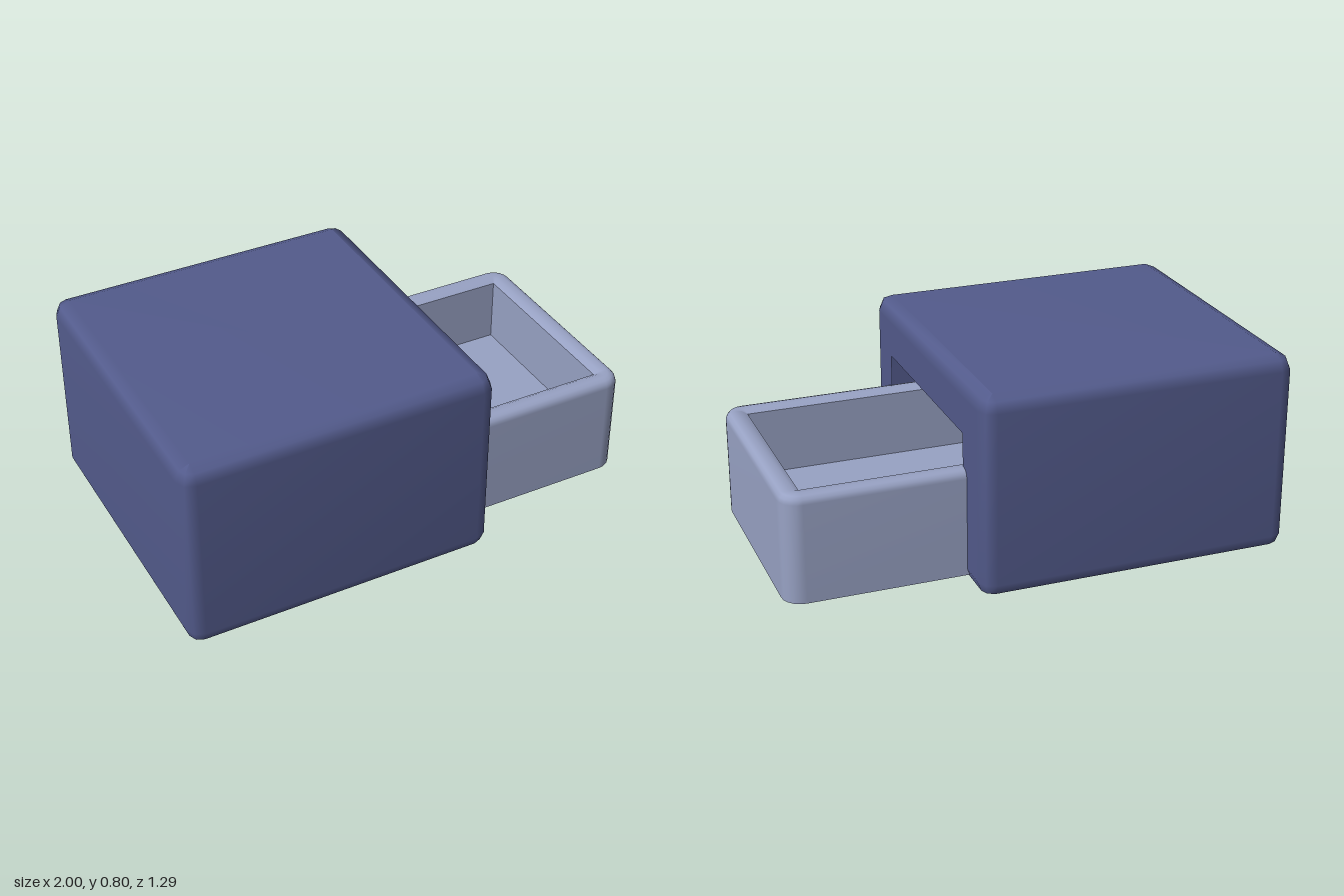
import * as THREE from 'three';

// Ring of points: a rectangle seen from above with a radius per corner, pulled in by inset
function ring({ x0, x1, z0, z1, radii, seg }, y, inset) {
  const pts = [];
  const corners = [[x1, z1, -1, -1], [x0, z1, 1, -1], [x0, z0, 1, 1], [x1, z0, -1, 1]];
  corners.forEach(([cx, cz, sx, sz], q) => {
    const r = Math.max(radii[q] - inset, 0);
    const d = Math.max(radii[q], inset);
    for (let i = 0; i <= seg; i++) {
      const a = (q + i / seg) * Math.PI / 2;
      pts.push([cx + sx * d + r * Math.cos(a), y, cz + sz * d + r * Math.sin(a)]);
    }
  });
  return pts;
}

// Skin over rings given as [y, inset]; skip(level, side) leaves a panel out
function loft(plan, levels, { cap = false, skip = () => false } = {}) {
  const rings = levels.map(([y, inset]) => ring(plan, y, inset));
  const n = rings[0].length;
  const full = [], kept = [];
  for (let k = 0; k < rings.length - 1; k++) {
    for (let i = 0; i < n; i++) {
      const j = (i + 1) % n;
      const a = k * n + i, b = k * n + j, c = a + n, d = b + n;
      const quad = [a, c, b, b, c, d];
      full.push(...quad);
      if (!skip(k, i)) kept.push(...quad);
    }
  }
  if (cap) {
    const s = (rings.length - 1) * n;
    for (let i = 1; i < n - 1; i++) {
      full.push(s, s + i + 1, s + i);
      kept.push(s, s + i + 1, s + i);
    }
  }
  const g = new THREE.BufferGeometry();
  g.setAttribute('position', new THREE.Float32BufferAttribute(rings.flat(2), 3));
  g.setIndex(full);
  g.computeVertexNormals();
  g.setIndex(kept);
  return g;
}

export function createModel() {
  const group = new THREE.Group();
  const bodyMat = new THREE.MeshStandardMaterial({ color: 0x535b8c, side: THREE.DoubleSide });
  const drawerMat = new THREE.MeshStandardMaterial({ color: 0x98a2c4, side: THREE.DoubleSide });
  const add = (parent, name, geometry, material) => {
    const mesh = new THREE.Mesh(geometry, material);
    mesh.name = name;
    parent.add(mesh);
    return mesh;
  };

  // Case: rounded shell, open underneath, with the front panel left out
  const R = 0.06;
  const body = { x0: -1, x1: 0.285, z0: -0.645, z1: 0.645, radii: [R, R, R, R], seg: 2 };
  const sides = 4 * (body.seg + 1);
  const wallBottom = 0.04, wallTop = 0.74;
  const bodyLevels = [[0, 0.015], [wallBottom, 0], [wallTop, 0], [0.782, 0.018], [0.8, R]];
  add(group, 'caseShell', loft(body, bodyLevels, {
    cap: true,
    skip: (k, i) => k === 1 && i === sides - 1,
  }), bodyMat);

  // Panel with the drawer opening
  const half = body.z1 - R;
  const rect = (path, w, lo, hi) =>
    path.moveTo(-w, lo).lineTo(w, lo).lineTo(w, hi).lineTo(-w, hi).closePath();
  const panelShape = rect(new THREE.Shape(), half, wallBottom, wallTop);
  panelShape.holes.push(rect(new THREE.Path(), 0.43, 0.17, 0.59));
  const panel = add(group, 'openingPanel', new THREE.ShapeGeometry(panelShape), bodyMat);
  panel.rotation.y = Math.PI / 2;
  panel.position.x = body.x1;

  // Drawer: outer walls with a soft rim, rounded at the pulled-out end only
  const drawer = new THREE.Group();
  drawer.name = 'drawer';
  group.add(drawer);
  const tray = { x0: -0.36, x1: 1, z0: -0.475, z1: 0.475, radii: [0.08, 0, 0, 0.08], seg: 5 };
  const rimEnd = [0.44, 0.088];
  add(drawer, 'drawerWalls', loft(tray, [
    [0.015, 0], [0.42, 0], [0.438, 0.006], [0.45, 0.017], [0.455, 0.035], [0.453, 0.065], rimEnd,
  ]), drawerMat);

  // Drawer inside walls and raised floor
  const floorY = 0.17;
  add(drawer, 'drawerInsideWalls', loft(tray, [rimEnd, [floorY, 0.088]]), drawerMat);
  const inset = rimEnd[1];
  const floor = add(drawer, 'drawerFloor', new THREE.PlaneGeometry(
    tray.x1 - tray.x0 - 2 * inset, tray.z1 - tray.z0 - 2 * inset), drawerMat);
  floor.rotation.x = -Math.PI / 2;
  floor.position.set((tray.x0 + tray.x1) / 2, floorY, 0);

  return group;
}
